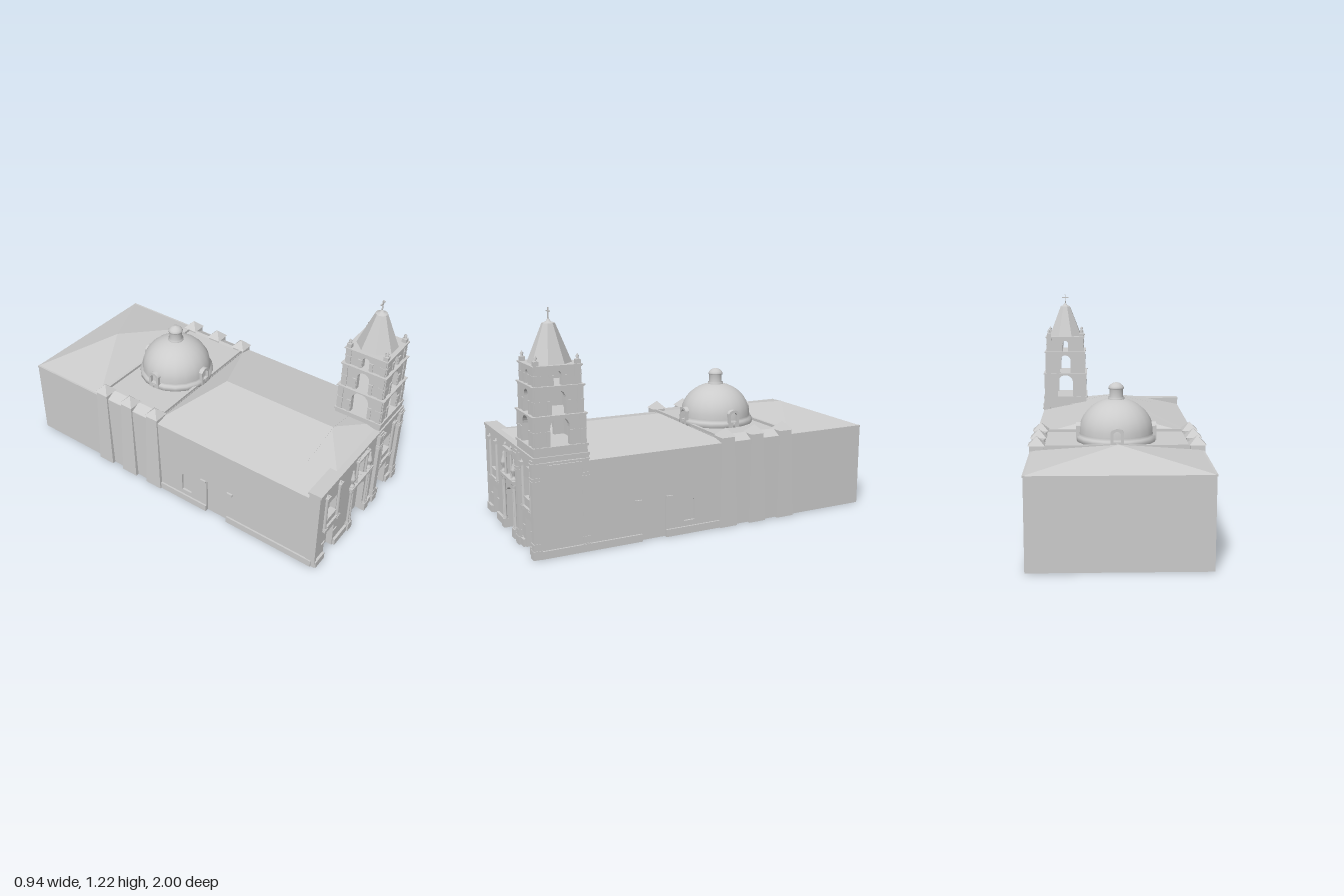
import * as THREE from 'three';

const mat = new THREE.MeshStandardMaterial({ color: 0xcccccc, side: THREE.DoubleSide });
const flat = new THREE.MeshStandardMaterial({ color: 0xcccccc, side: THREE.DoubleSide, flatShading: true });

function add(parent, name, geo, x = 0, y = 0, z = 0, m = mat) {
  const mesh = new THREE.Mesh(geo, m);
  mesh.name = name;
  mesh.position.set(x, y, z);
  parent.add(mesh);
  return mesh;
}
// Box given by its limits
const box = (p, name, x0, x1, y0, y1, z0, z1) =>
  add(p, name, new THREE.BoxGeometry(x1 - x0, y1 - y0, z1 - z0), (x0 + x1) / 2, (y0 + y1) / 2, (z0 + z1) / 2);
const lathe = (p, name, pts, x, y, z, seg = 12) =>
  add(p, name, new THREE.LatheGeometry(pts.map(a => new THREE.Vector2(...a)), seg), x, y, z);
function group(parent, name, x = 0, y = 0, z = 0, ry = 0) {
  const g = new THREE.Group();
  g.name = name;
  g.position.set(x, y, z);
  g.rotation.y = ry;
  parent.add(g);
  return g;
}

// Outline of an opening: o = { x, w, y0, y1, rise }, with a circular arch head of the given rise
function archPoints({ x, w, y0, y1, rise = 0 }) {
  const h = w / 2, pts = [[x - h, y0], [x - h, y1 - rise]];
  if (rise) {
    const R = (h * h + rise * rise) / (2 * rise), a = Math.asin(Math.min(1, h / R));
    for (let i = 1; i < 12; i++) {
      const t = -a + (2 * a * i) / 12;
      pts.push([x + R * Math.sin(t), y1 - R + R * Math.cos(t)]);
    }
  }
  pts.push([x + h, y1 - rise], [x + h, y0]);
  return pts.map(p => new THREE.Vector2(...p));
}

// Upright wall in x/y with its face at z = 0; doors notch the bottom edge, windows are holes
function wall(p, name, x0, x1, y0, y1, depth, doors, windows, filled) {
  const pts = [new THREE.Vector2(x0, y0)];
  doors.forEach(d => pts.push(...archPoints({ ...d, y0 })));
  pts.push(new THREE.Vector2(x1, y0), new THREE.Vector2(x1, y1), new THREE.Vector2(x0, y1));
  const s = new THREE.Shape(pts);
  windows.forEach(w => s.holes.push(new THREE.Path(archPoints(w))));
  add(p, name, new THREE.ExtrudeGeometry(s, { depth, bevelEnabled: false }), 0, 0, -depth);
  if (filled) [...doors, ...windows].forEach(o =>
    add(p, 'recessedPanel', new THREE.ShapeGeometry(new THREE.Shape(archPoints(o))), 0, 0, -depth * 0.6));
}

// Flat polygons, each fanned from its first corner
function polygons(p, name, list) {
  const pos = [];
  list.forEach(f => { for (let i = 1; i < f.length - 1; i++) pos.push(...f[0], ...f[i], ...f[i + 1]); });
  const g = new THREE.BufferGeometry();
  g.setAttribute('position', new THREE.Float32BufferAttribute(pos, 3));
  g.computeVertexNormals();
  add(p, name, g, 0, 0, 0, flat);
}

function buildBody(root) {
  const body = group(root, 'body');
  // Long side walls, with door, window and plinth
  [1, -1].forEach(s => {
    const g = group(body, 'sideWall', s * 0.45, 0, 0, s * Math.PI / 2);
    const at = z => -s * z, span = (a, b) => [Math.min(at(a), at(b)), Math.max(at(a), at(b))];
    wall(g, 'wall', ...span(-1, 0.96), 0, 0.47, 0.02,
      [{ x: at(0.345), w: 0.14, y0: 0, y1: 0.24, rise: 0.02 }],
      [{ x: at(0.135), w: 0.065, y0: 0.07, y1: 0.195, rise: 0.015 }], true);
    [[0.96, 0.415], [0.275, -0.05]].forEach(([a, b]) => box(g, 'plinth', ...span(a, b), 0, 0.04, -0.01, 0.01));
    [0.435, 0.255].forEach(z => box(g, 'doorImpost', at(z) - 0.018, at(z) + 0.018, 0.212, 0.225, -0.01, 0.01));
    box(g, 'eaves', ...span(-1, -0.5), 0.462, 0.472, -0.01, 0.004);
  });
  box(body, 'rearWall', -0.45, 0.45, 0, 0.47, -1, -0.985);

  // Nave roof with hipped ends
  const A = [0, 0.563, 0.78], B = [0, 0.563, 0.09];
  polygons(body, 'naveRoof', [
    [A, [-0.24, 0.514, 0.95], [0.24, 0.514, 0.95]],
    [A, B, [-0.4, 0.48, -0.07], [-0.45, 0.47, -0.07], [-0.45, 0.47, 0.95], [-0.24, 0.514, 0.95]],
    [A, [0.24, 0.514, 0.95], [0.45, 0.47, 0.95], [0.45, 0.47, -0.07], [0.4, 0.48, -0.07], B],
    [B, [0.4, 0.48, -0.07], [-0.4, 0.48, -0.07]]]);
  // Low gable crowning the front
  const gable = new THREE.Shape([[-0.27, 0.512], [0.27, 0.512], [0, 0.568]].map(p => new THREE.Vector2(...p)));
  const ridge = add(body, 'gableCoping', new THREE.ExtrudeGeometry(gable, { depth: 0.02, bevelEnabled: false }), 0, 0, 0.775);
  ridge.geometry.translate(0, -0.004, -0.005);

  // Rear pavilion roof
  const P = [0, 0.56, -0.75], c = [[-0.453, 0.47, -1], [-0.453, 0.47, -0.49], [0.453, 0.47, -0.49], [0.453, 0.47, -1]];
  polygons(body, 'rearRoof', c.map((v, i) => [P, v, c[(i + 1) % 4]]));

  // Raised flat roof of the crossing with sloping edges
  box(body, 'crossingRoof', -0.39, 0.39, 0.465, 0.485, -0.49, -0.07);
  [-0.08, -0.487].forEach(z => box(body, 'parapet', -0.42, 0.42, 0.465, 0.5, z - 0.008, z + 0.008));
  [1, -1].forEach(s => polygons(body, 'crossingEdge', [
    [[s * 0.39, 0.5, -0.07], [s * 0.45, 0.468, -0.07], [s * 0.45, 0.468, -0.5], [s * 0.39, 0.5, -0.5]],
    [[s * 0.39, 0.5, -0.07], [s * 0.39, 0.5, -0.5], [s * 0.38, 0.48, -0.5], [s * 0.38, 0.48, -0.07]]]));

  // Tapering buttresses with pyramid caps
  [1, -1].forEach(s => [-0.1, -0.285, -0.47].forEach(z => {
    const g = new THREE.BoxGeometry(0.075, 0.5, 0.075).translate(0, 0.25, 0), v = g.attributes.position;
    for (let i = 0; i < v.count; i++) if (v.getY(i) < 0.01) {
      v.setZ(i, v.getZ(i) * 1.4);
      if (v.getX(i) * s > 0) v.setX(i, s * 0.05);
    }
    g.computeVertexNormals();
    add(body, 'buttress', g, s * 0.42, 0, z);
    const cap = add(body, 'buttressCap', new THREE.ConeGeometry(0.063, 0.045, 4, 1), s * 0.42, 0.5225, z, flat);
    cap.rotation.y = Math.PI / 4;
  }));
}

function buildDome(root) {
  const g = group(root, 'dome', 0, 0, -0.28);
  lathe(g, 'drum', [[0.2, 0.48], [0.218, 0.48], [0.218, 0.51], [0.203, 0.513], [0.203, 0.53]], 0, 0, 0, 20);
  const pts = [];
  for (let i = 0; i <= 12; i++) {
    const a = (i / 12) * Math.PI / 2;
    pts.push([0.203 * Math.cos(a), 0.53 + 0.183 * Math.sin(a)]);
  }
  lathe(g, 'domeShell', pts, 0, 0, 0, 20);
  lathe(g, 'lantern', [[0.045, 0.7], [0.045, 0.718], [0.037, 0.72], [0.037, 0.762], [0.042, 0.764], [0.042, 0.772],
    [0.036, 0.782], [0.022, 0.794], [0, 0.8]], 0, 0, 0, 16);
  // Four arched dormers
  for (let i = 0; i < 4; i++) {
    const d = group(g, 'dormer', 0, 0, 0, i * Math.PI / 2);
    const s = new THREE.Shape(archPoints({ x: 0, w: 0.068, y0: 0.48, y1: 0.585, rise: 0.02 }));
    s.holes.push(new THREE.Path(archPoints({ x: 0, w: 0.04, y0: 0.515, y1: 0.57, rise: 0.014 })));
    add(d, 'dormerFrame', new THREE.ExtrudeGeometry(s, { depth: 0.05, bevelEnabled: false }), 0, 0, 0.167);
  }
}

function buildFacade(root) {
  const f = group(root, 'facade', 0, 0, 0.975);
  const sides = [-0.305, 0.305];
  wall(f, 'frontWall', -0.45, 0.45, 0, 0.505, 0.06,
    [{ x: -0.305, w: 0.095, y0: 0, y1: 0.16 }, { x: 0, w: 0.15, y0: 0, y1: 0.243, rise: 0.028 }, { x: 0.305, w: 0.095, y0: 0, y1: 0.16 }],
    [...sides.map(x => ({ x, w: 0.095, y0: 0.265, y1: 0.378 })), { x: 0, w: 0.076, y0: 0.312, y1: 0.418 }], true);
  box(f, 'cornice', -0.455, 0.455, 0.5, 0.514, -0.065, 0.012);
  [[-0.45, -0.36], [-0.25, -0.12], [0.12, 0.25], [0.36, 0.45]].forEach(([a, b]) => box(f, 'plinth', a, b, 0, 0.04, -0.01, 0.014));
  box(f, 'cornerStrip', -0.453, -0.435, 0, 0.5, -0.05, 0.006);

  // Side bays: half columns, capitals and sills
  sides.forEach(x => {
    box(f, 'sillBand', x - 0.08, x + 0.08, 0.219, 0.226, -0.01, 0.012);
    box(f, 'windowSill', x - 0.047, x + 0.047, 0.265, 0.275, -0.03, 0.006);
    [-1, 1].forEach(s => {
      const cx = x + s * 0.065;
      add(f, 'halfColumn', new THREE.CylinderGeometry(0.012, 0.014, 0.21, 12), cx, 0.33, -0.002);
      [[0.2, 0.01], [0.212, 0.016], [0.43, 0.01], [0.441, 0.017]].forEach(([y, w]) =>
        box(f, 'capital', cx - w, cx + w, y, y + 0.01, -0.01, 0.012 + w / 4));
      add(f, 'capitalKnob', new THREE.CylinderGeometry(0.004, 0.01, 0.014, 8), cx, 0.457, 0.002);
      box(f, 'doorImpost', x + s * 0.063 - 0.016, x + s * 0.063 + 0.016, 0.112, 0.118, -0.005, 0.006);
    });
  });

  // Central portal
  const p = group(f, 'portal');
  box(p, 'entablature', -0.112, 0.112, 0.288, 0.3, -0.01, 0.015);
  box(p, 'entablatureCornice', -0.12, 0.12, 0.3, 0.311, -0.01, 0.022);
  box(p, 'windowHead', -0.058, 0.058, 0.44, 0.456, -0.01, 0.012);
  box(p, 'windowCornice', -0.068, 0.068, 0.456, 0.466, -0.01, 0.018);
  [-1, 1].forEach(s => {
    box(p, 'pedestal', s * 0.096 - 0.022, s * 0.096 + 0.022, 0, 0.05, -0.01, 0.022);
    [0.085, 0.107].forEach(x => lathe(p, 'portalColumn', [[0.011, 0.05], [0.011, 0.06], [0.008, 0.066], [0.007, 0.268],
      [0.011, 0.276], [0.011, 0.288]], s * x, 0, 0.008));
    lathe(p, 'obelisk', [[0.016, 0.311], [0.016, 0.322], [0.008, 0.328], [0.008, 0.338], [0.019, 0.362], [0.016, 0.37],
      [0.005, 0.41], [0.007, 0.418], [0, 0.428]], s * 0.094, 0, 0.004, 8);
    add(p, 'windowColumn', new THREE.CylinderGeometry(0.007, 0.008, 0.13, 10), s * 0.052, 0.376, 0.005);
    lathe(p, 'urn', [[0.008, 0.466], [0.005, 0.472], [0.009, 0.478], [0, 0.488]], s * 0.052, 0, 0.004, 8);
  });
}

function buildTower(root) {
  const t = group(root, 'tower', 0.308, 0, 0.842);
  // Corner pilasters below the belfry
  [[-0.122, 0.135], [0.125, 0.135], [0.125, -0.123]].forEach(([x, z]) => {
    const pier = (n, h, a, b) => box(t, n, x - h, x + h, a, b, z - h, z + h);
    pier('pilaster', 0.018, 0, 0.5);
    pier('pilasterBase', 0.024, 0, 0.045);
    pier('pilasterBase', 0.021, 0.045, 0.08);
    pier('pilasterBand', 0.022, 0.405, 0.414);
    pier('pilasterBand', 0.021, 0.39, 0.397);
    pier('pilasterBand', 0.023, 0.478, 0.486);
  });
  box(t, 'bandRight', 0.13, 0.15, 0.478, 0.486, -0.14, 0.14);
  box(t, 'towerBase', -0.138, 0.138, 0.46, 0.548, -0.138, 0.138);
  box(t, 'baseCornice', -0.146, 0.146, 0.5, 0.514, -0.146, 0.146);
  box(t, 'baseCornice', -0.143, 0.143, 0.548, 0.56, -0.143, 0.143);

  // Three open stages: bottom, top, half width, opening width and top, impost height
  [[0.56, 0.71, 0.132, 0.1, 0.7, 0.63], [0.71, 0.852, 0.124, 0.07, 0.83, 0.775], [0.852, 0.95, 0.117, 0.04, 0.925, 0.9]]
    .forEach(([y0, y1, h, w, top, imp]) => {
      for (let i = 0; i < 4; i++) {
        const g = group(t, 'belfrySide', 0, 0, 0, i * Math.PI / 2);
        const inner = group(g, 'belfryWall', 0, 0, h);
        wall(inner, 'archedWall', -h, h, y0, y1, 0.03, [{ x: 0, w, y0, y1: top, rise: w / 2 }], [], false);
        [-1, 1].forEach(s => {
          const e = s * (h - 0.016), m = s * (w / 2 + 0.013);
          box(inner, 'cornerPilaster', e - 0.014, e + 0.014, y0, y1, -0.005, 0.005);
          box(inner, 'cornerBand', e - 0.018, e + 0.018, imp, imp + 0.006, -0.005, 0.007);
          box(inner, 'archPilaster', m - 0.009, m + 0.009, y0, imp, -0.005, 0.004);
          box(inner, 'archImpost', m - 0.013, m + 0.013, imp, imp + 0.006, -0.005, 0.006);
        });
      }
      box(t, 'stageCornice', -h - 0.006, h + 0.006, y1 - 0.008, y1 - 0.003, -h - 0.006, h + 0.006);
      box(t, 'stageCornice', -h - 0.01, h + 0.01, y1 - 0.003, y1 + 0.003, -h - 0.01, h + 0.01);
    });

  // Corner finials
  [-1, 1].forEach(sx => [-1, 1].forEach(sz => {
    const x = sx * 0.106, z = sz * 0.106;
    box(t, 'finialBase', x - 0.013, x + 0.013, 0.95, 0.975, z - 0.013, z + 0.013);
    lathe(t, 'finial', [[0.012, 0.975], [0.005, 0.98], [0.01, 0.99], [0, 1.004]], x, 0, z, 8);
  }));

  // Octagonal spire and cross
  const spire = add(t, 'spire', new THREE.CylinderGeometry(0.033, 0.112, 0.195, 8), 0, 1.0475, 0, flat);
  spire.rotation.y = Math.PI / 8;
  lathe(t, 'spireCap', [[0.033, 1.145], [0.012, 1.153], [0.01, 1.16], [0, 1.168]], 0, 0, 0, 8);
  box(t, 'crossUpright', -0.003, 0.003, 1.16, 1.222, -0.003, 0.003);
  box(t, 'crossArm', -0.023, 0.023, 1.2, 1.206, -0.003, 0.003);
}

export function createModel() {
  const root = new THREE.Group();
  root.name = 'church';
  buildBody(root);
  buildDome(root);
  buildFacade(root);
  buildTower(root);
  return root;
}
